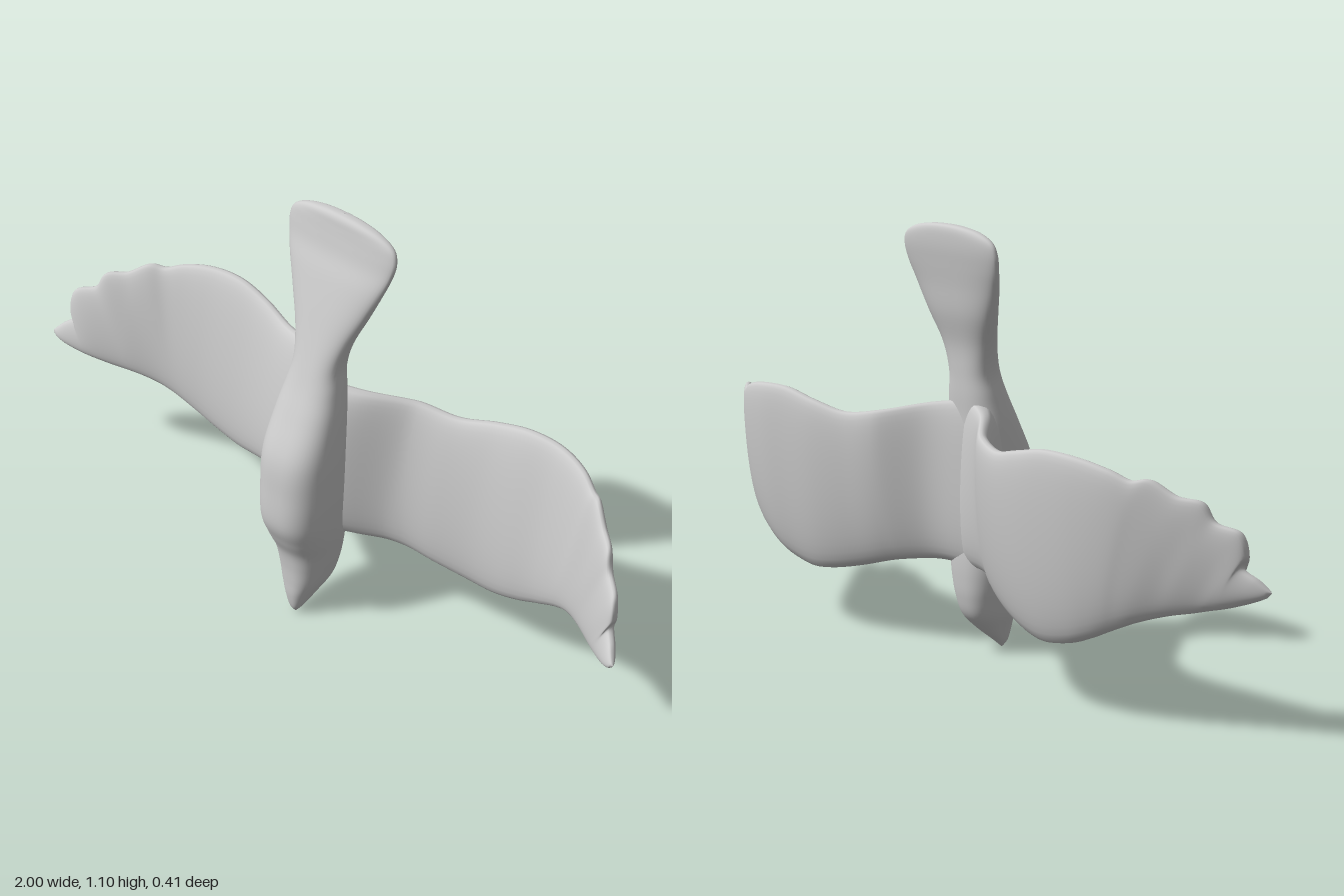
import * as THREE from 'three';

const material = new THREE.MeshStandardMaterial({ color: 0xcccccc, side: THREE.DoubleSide });

// Smooth skin over closed cross-sections: point(u, angle) -> [x, y, z]
function loft(name, nu, nv, point, flip = false) {
  const pos = [], idx = [];
  for (let i = 0; i <= nu; i++)
    for (let j = 0; j < nv; j++) pos.push(...point(i / nu, (j / nv) * Math.PI * 2));
  for (let i = 0; i < nu; i++)
    for (let j = 0; j < nv; j++) {
      const a = i * nv + j, d = i * nv + (j + 1) % nv, b = a + nv, c = d + nv;
      if (flip) idx.push(a, d, b, d, c, b);
      else idx.push(a, b, d, d, b, c);
    }
  const g = new THREE.BufferGeometry();
  g.setAttribute('position', new THREE.Float32BufferAttribute(pos, 3));
  g.setIndex(idx);
  g.computeVertexNormals();
  const mesh = new THREE.Mesh(g, material);
  mesh.name = name;
  return mesh;
}

const curve = pts => new THREE.CatmullRomCurve3(pts.map(p => new THREE.Vector3(p[0], p[1], p[2] || 0)), false, 'catmullrom', 0.5);
const power = (v, p) => Math.sign(v) * Math.pow(Math.abs(v), p);

// Body stations from beak to tail tip: y, half width, back z, front z
const BODY = [
  [0, 0.002, 0.133, 0.138], [0.02, 0.017, 0.11, 0.15], [0.06, 0.036, 0.06, 0.157], [0.1, 0.054, 0.022, 0.158],
  [0.15, 0.067, 0.006, 0.16], [0.2, 0.078, 0, 0.168], [0.25, 0.088, -0.002, 0.19], [0.31, 0.095, 0, 0.21],
  [0.4, 0.099, 0, 0.207], [0.5, 0.098, 0, 0.195], [0.6, 0.09, 0, 0.15], [0.67, 0.079, -0.004, 0.117],
  [0.73, 0.071, -0.006, 0.094], [0.8, 0.087, -0.012, 0.07], [0.88, 0.122, -0.032, 0.044], [0.95, 0.152, -0.042, 0.02],
  [1.0, 0.17, -0.05, 0], [1.04, 0.176, -0.056, -0.01], [1.07, 0.163, -0.058, -0.016], [1.09, 0.12, -0.057, -0.02],
  [1.1, 0.06, -0.052, -0.027], [1.103, 0.002, -0.04, -0.038],
];

// Wing outline, root to tip: leading edge (lower) and feathered trailing edge (upper)
const LEAD = curve([
  [0, 0.235], [0.1, 0.235], [0.2, 0.222], [0.3, 0.193], [0.39, 0.172], [0.46, 0.166], [0.54, 0.182], [0.6, 0.206],
  [0.64, 0.226], [0.67, 0.241], [0.705, 0.258], [0.745, 0.274], [0.785, 0.287], [0.83, 0.298], [0.865, 0.308],
  [0.905, 0.319], [0.955, 0.338], [0.99, 0.355],
]);
const TRAIL = curve([
  [0, 0.66], [0.1, 0.645], [0.2, 0.62], [0.3, 0.605], [0.4, 0.625], [0.5, 0.645], [0.6, 0.642], [0.68, 0.625],
  [0.73, 0.605], [0.77, 0.609], [0.82, 0.577], [0.87, 0.566], [0.895, 0.522], [0.945, 0.503], [0.957, 0.452],
  [0.945, 0.42], [0.975, 0.395], [1.0, 0.368],
]);

// Fore-and-aft arch of each wing, sampled every 0.1 along the span
const ARCH = {
  left: [0.03, -0.008, -0.08, -0.115, -0.143, -0.154, -0.157, -0.132, -0.068, 0.01, 0.09],
  right: [0.03, -0.008, -0.08, -0.118, -0.14, -0.145, -0.135, -0.105, -0.048, 0.013, 0.065],
};

function makeWing(name, side, arch) {
  const archCurve = curve(arch.map((z, i) => [i / 10, z]));
  return loft(name, 136, 40, (u, a) => {
    const p = LEAD.getPoint(u), q = TRAIL.getPoint(u);
    const s = (1 - Math.cos(a)) / 2;
    const x = p.x + (q.x - p.x) * s;
    const y = p.y + (q.y - p.y) * s;
    // The front face swells where the wing meets the body
    const fillet = Math.sin(a) > 0 ? 0.07 * Math.pow(Math.max(0, 1 - x / 0.22), 2) : 0;
    const half = (0.048 * (1 - 0.4 * u) * (1 - 0.25 * s) + fillet) * Math.sqrt(1 - Math.pow(u, 16));
    const sweep = 0.028 * (1 - 2 * s) * (1 - u ** 4) * Math.min(1, x * 5);
    const z = archCurve.getPoint(Math.min(1, Math.max(0, x))).y + sweep + half * power(Math.sin(a), 0.7);
    return [side * x, y, z];
  }, side < 0);
}

export function createModel() {
  const bird = new THREE.Group();
  bird.name = 'bird';

  // Head, body and fanned tail in one skin
  const size = curve(BODY.map(b => [b[1], b[2], b[3]]));
  const height = curve(BODY.map(b => [0, b[0]]));
  bird.add(loft('bodyAndTail', 126, 48, (u, a) => {
    const w = size.getPoint(u), y = height.getPoint(u).y;
    const x = w.x * power(Math.cos(a), 0.8);
    const z = (w.y + w.z) / 2 + (w.z - w.y) / 2 * power(Math.sin(a), 0.8);
    return [0.012 + x, y, z];
  }));

  // Arched wings
  bird.add(makeWing('leftWing', 1, ARCH.left), makeWing('rightWing', -1, ARCH.right));
  return bird;
}
